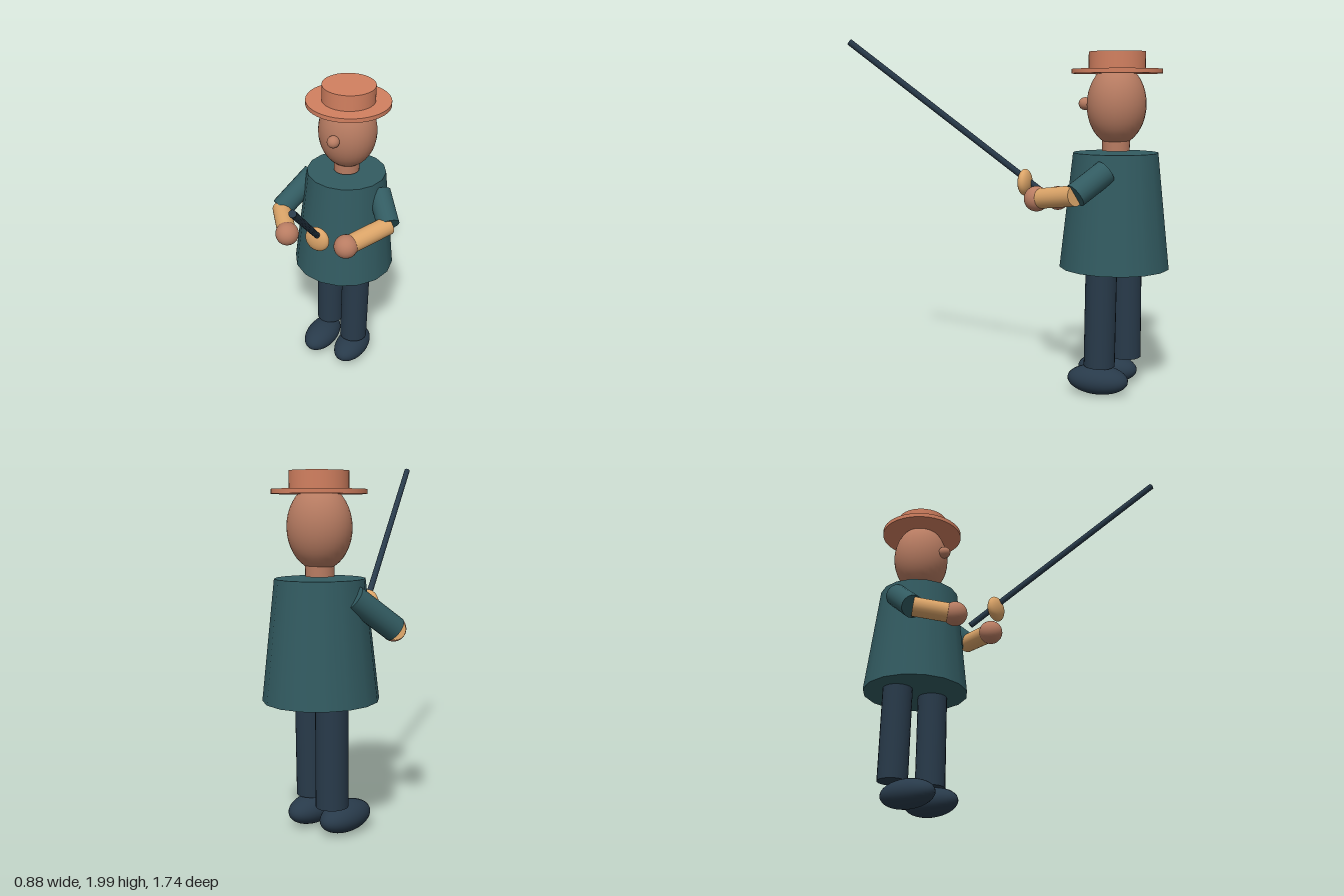
import * as THREE from 'three';

const mat = (color) => new THREE.MeshStandardMaterial({ color });
const MATS = {
  skin: mat(0xb87c62), hat: mat(0xd28060), coat: mat(0x325b61),
  navy: mat(0x283a4a), tan: mat(0xdba468),
};
const CX = -0.042, CZ = -0.556; // body axis

export function createModel() {
  const root = new THREE.Group();
  root.name = 'figure';

  const add = (name, geometry, material, pos) => {
    const mesh = new THREE.Mesh(geometry, material);
    mesh.name = name;
    mesh.position.set(...pos);
    root.add(mesh);
    return mesh;
  };

  // Ellipsoid with three radii
  const ball = (name, material, pos, r) => {
    add(name, new THREE.SphereGeometry(1, 32, 20).scale(...r), material, pos);
  };

  // Upright disc or frustum on the body axis, from y0 to y1
  const drum = (name, material, y0, y1, r0, r1, sides = 32) => {
    add(name, new THREE.CylinderGeometry(r1, r0, y1 - y0, sides), material, [CX, (y0 + y1) / 2, CZ]);
  };

  // Rod running from point a to point b
  const rod = (name, material, a, b, ra, rb = ra, sides = 20) => {
    const A = new THREE.Vector3(...a), B = new THREE.Vector3(...b);
    const dir = B.clone().sub(A), mid = A.clone().add(B).multiplyScalar(0.5);
    const mesh = add(name, new THREE.CylinderGeometry(rb, ra, dir.length(), sides), material, mid.toArray());
    mesh.quaternion.setFromUnitVectors(new THREE.Vector3(0, 1, 0), dir.normalize());
  };

  // Coat and neck
  drum('coat', MATS.coat, 0.728, 1.375, 0.312, 0.24, 16);
  drum('neck', MATS.skin, 1.385, 1.5, 0.077, 0.077);

  // Head and nose
  ball('head', MATS.skin, [CX, 1.64, CZ], [0.177, 0.225, 0.165]);
  ball('nose', MATS.skin, [CX, 1.645, -0.377], [0.037, 0.036, 0.038]);

  // Hat
  drum('hatBrim', MATS.hat, 1.811, 1.836, 0.25, 0.25, 40);
  drum('hatCrown', MATS.hat, 1.836, 1.93, 0.157, 0.157, 40);

  // Legs in a slight stride, feet side by side
  for (const [side, s] of [['left', 1], ['right', -1]]) {
    const x = CX + s * 0.114;
    rod(side + 'Leg', MATS.navy, [x, 0.172, CZ + s * 0.05], [x, 0.735, CZ + s * 0.045], 0.088);
    ball(side + 'Foot', MATS.navy, [x, 0.088, -0.497], [0.102, 0.083, 0.176]);
  }

  // Arms: shoulder, elbow and hand positions
  const arms = {
    left: [[0.185, 1.285, -0.556], [0.312, 1.165, -0.425], [0.169, 1.122, -0.16]],
    right: [[-0.27, 1.285, -0.556], [-0.38, 1.11, -0.35], [-0.228, 1.08, -0.16]],
  };
  for (const [side, [shoulder, elbow, hand]] of Object.entries(arms)) {
    rod(side + 'UpperArm', MATS.coat, shoulder, elbow, 0.068);
    rod(side + 'Forearm', MATS.tan, elbow, hand, 0.057);
    ball(side + 'Hand', MATS.skin, hand, [0.071, 0.071, 0.071]);
  }

  // Long rod with a round guard
  rod('staff', MATS.navy, [-0.017, 1.1, -0.19], [0.417, 1.985, 0.855], 0.018, 0.018, 12);
  ball('staffGuard', MATS.tan, [0.042, 1.198, -0.047], [0.075, 0.076, 0.038]);

  return root;
}
